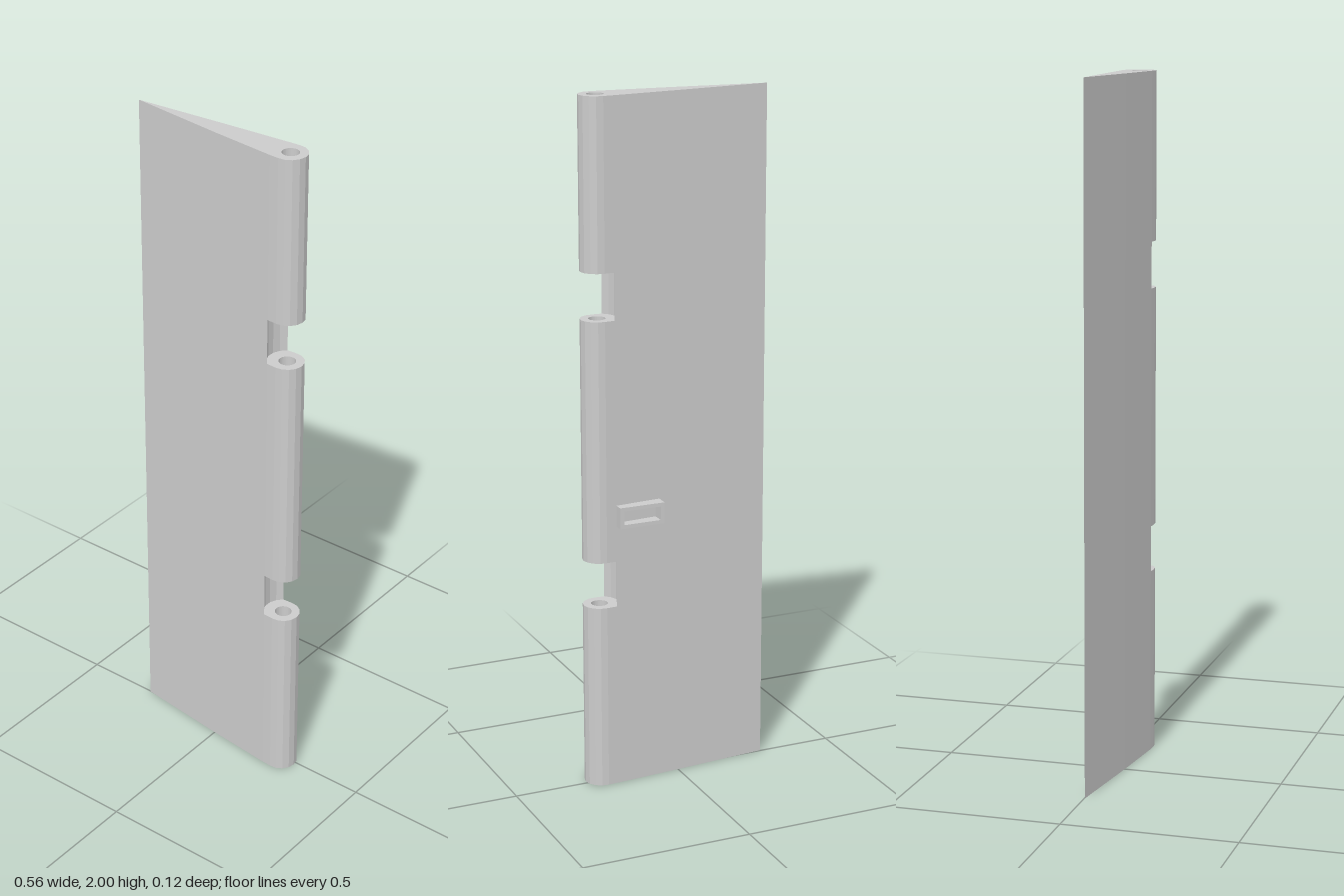
import * as THREE from 'three';

const HEIGHT = 2;
const PIN = { x: 0.232, y: -0.0105 }; // hinge axis; profile y is -z
const KNUCKLE_R = 0.048;
const SOCKET_R = 0.0572;
const SOCKET_ANGLE = Math.atan2(0.0465, -0.034);

// Points along an arc around the hinge axis
function arc(radius, from, to, segments) {
  return Array.from({ length: segments + 1 }, (_, i) => {
    const a = from + (to - from) * i / segments;
    return new THREE.Vector2(PIN.x + radius * Math.cos(a), PIN.y + radius * Math.sin(a));
  });
}

// Extrude a plan profile upwards from y0 to y1
function upright(name, shape, y0, y1, material) {
  const geometry = new THREE.ExtrudeGeometry(shape, { depth: y1 - y0, bevelEnabled: false, curveSegments: 16 });
  geometry.rotateX(-Math.PI / 2);
  geometry.translate(0, y0, 0);
  const mesh = new THREE.Mesh(geometry, material);
  mesh.name = name;
  return mesh;
}

export function createModel() {
  const group = new THREE.Group();
  group.name = 'hingedFlap';
  const grey = new THREE.MeshStandardMaterial({ color: 0xcccccc });

  // Wedge blade, hollowed along the hinge edge
  const socket = arc(SOCKET_R, SOCKET_ANGLE, 2 * Math.PI - SOCKET_ANGLE, 5);
  const blade = new THREE.Shape([
    new THREE.Vector2(-0.28, -0.002),
    new THREE.Vector2(0, -0.036),
    ...socket.slice().reverse(),
    new THREE.Vector2(0, 0.021),
  ]);
  group.add(upright('blade', blade, 0, HEIGHT, grey));

  // Three hinge knuckles with a pin hole, filling the socket between the notches
  const knuckle = new THREE.Shape([
    ...socket,
    ...arc(KNUCKLE_R, -Math.PI * 0.53, Math.PI * 0.53, 8),
  ]);
  knuckle.holes.push(new THREE.Path().absarc(PIN.x, PIN.y, 0.024, 0, Math.PI * 2, true));
  [[0, 0.545], [0.68, 1.38], [1.515, HEIGHT]].forEach(([y0, y1], i) => {
    group.add(upright(`hingeKnuckle${i + 1}`, knuckle, y0, y1, grey));
  });

  // Rectangular bracket on the back, open towards the rear
  const rect = (Type, x0, y0, x1, y1) => new Type([
    new THREE.Vector2(x0, y0), new THREE.Vector2(x1, y0),
    new THREE.Vector2(x1, y1), new THREE.Vector2(x0, y1),
  ]);
  const frame = rect(THREE.Shape, 0.061, 0.784, 0.197, 0.846);
  frame.holes.push(rect(THREE.Path, 0.073, 0.795, 0.185, 0.835));
  const bracket = new THREE.Mesh(
    new THREE.ExtrudeGeometry(frame, { depth: 0.043, bevelEnabled: false }), grey);
  bracket.position.z = -0.063;
  bracket.name = 'rearBracket';
  group.add(bracket);

  return group;
}
